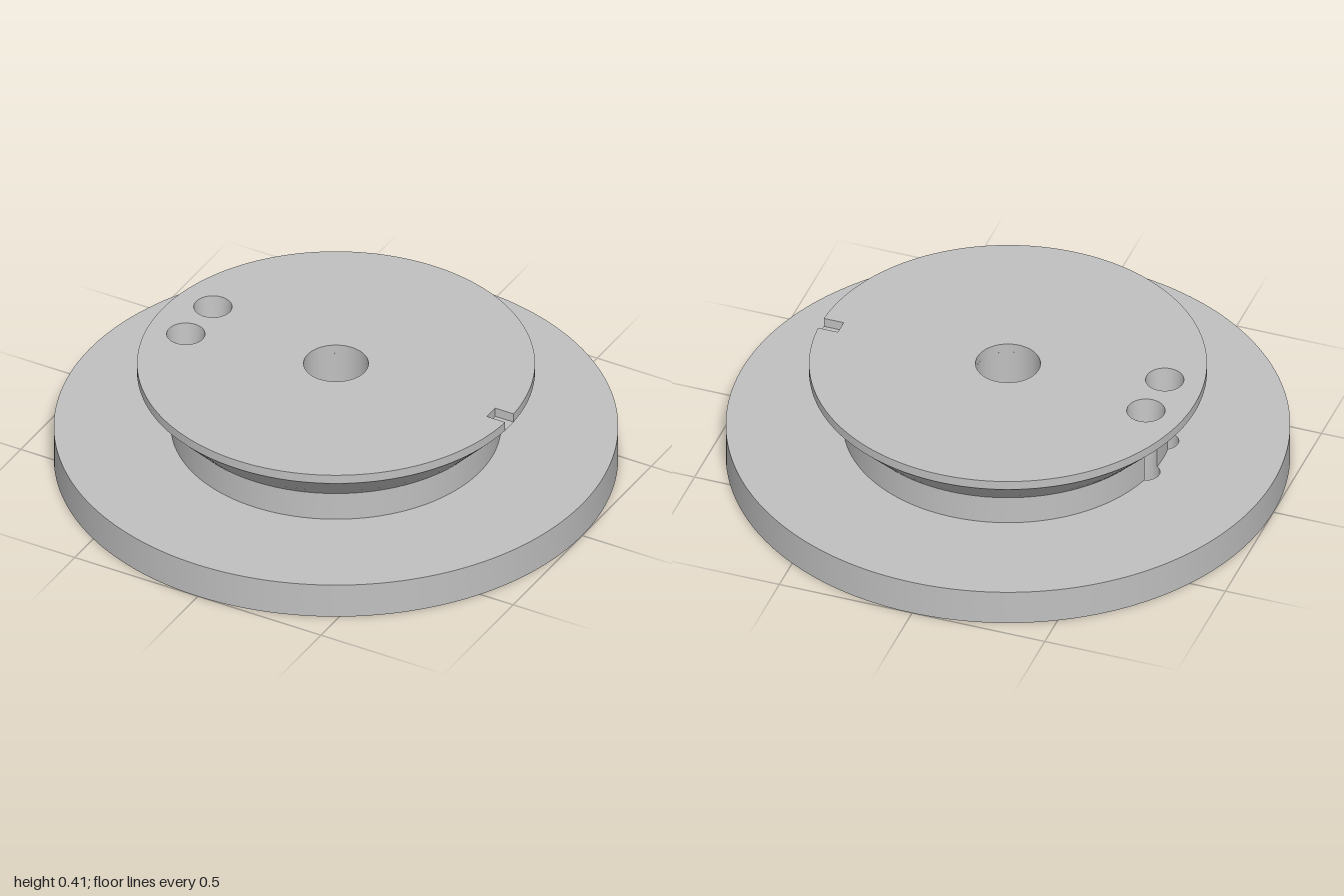
import * as THREE from 'three';
import { toCreasedNormals } from 'three/addons/utils/BufferGeometryUtils.js';

// Heights and radii
const BASE_TOP = 0.135, NECK_TOP = 0.245, RIM_BOTTOM = 0.37, TOP = 0.405;
const NECK_R = 0.585, RIM_R = 0.705, BORE_R = 0.115;
const HOLE_X = -0.555, HOLE_Z = 0.098;
const HOLE_D = Math.hypot(HOLE_X, HOLE_Z);

// Outer radius and screw hole radius at a height
const outerR = y => NECK_R + (RIM_R - NECK_R) * Math.max(0, (y - NECK_TOP) / (RIM_BOTTOM - NECK_TOP));
const holeR = y => 0.05 + 0.018 * Math.max(0, (y - NECK_TOP) / (TOP - NECK_TOP));

function circle(x, y, r) {
  return new THREE.Path().absarc(x, y, r, 0, Math.PI * 2, false);
}

function screwHoles(r) {
  return [1, -1].map(s => circle(HOLE_X, s * HOLE_Z, r));
}

// Tapered slot outline; it may be cut off square at x = cut
function slotPath(cut) {
  const big = 0.18, small = 0.09, reach = 0.82;
  const g = Math.acos((big - small) / reach);
  const p = new THREE.Path().absarc(0, 0, big, g, Math.PI * 2 - g, false);
  if (cut) {
    const z = (big - cut * Math.cos(g)) / Math.sin(g);
    p.lineTo(cut, -z);
    p.lineTo(cut, z);
  } else {
    p.absarc(reach, 0, small, -g, g, false);
  }
  p.closePath();
  return p;
}

function slab(shape, holes, y0, y1) {
  shape.holes.push(...holes);
  const geo = new THREE.ExtrudeGeometry(shape, { depth: y1 - y0, bevelEnabled: false, curveSegments: 96 });
  return toCreasedNormals(geo.rotateX(-Math.PI / 2).translate(0, y0, 0), 0.5);
}

function disc(r) {
  return new THREE.Shape().absarc(0, 0, r, 0, Math.PI * 2, false);
}

// Neck cross-section with the two screw holes biting into its edge
function neckLoop(y) {
  const R = outerR(y), h = holeR(y), d = HOLE_D, pts = [];
  const a = (d * d + R * R - h * h) / (2 * d);
  const alpha = Math.acos(Math.min(1, a / R));
  const beta = Math.acos(Math.min(1, (a - d) / h));
  const off = Math.atan2(HOLE_Z, -HOLE_X);
  const arc = (cx, cz, r, from, to, n) => {
    for (let i = 0; i <= n; i++) {
      const t = from + (to - from) * i / n;
      pts.push([cx + r * Math.cos(t), y, cz + r * Math.sin(t)]);
    }
  };
  const first = Math.PI - off, second = Math.PI + off;
  const bite = phi => arc(d * Math.cos(phi), d * Math.sin(phi), h, phi - beta, phi + beta - Math.PI * 2, 28);
  bite(first);
  arc(0, 0, R, first + alpha, second - alpha, 8);
  bite(second);
  arc(0, 0, R, second + alpha, first - alpha + Math.PI * 2, 110);
  return pts;
}

function loft(loops) {
  const pos = [];
  for (let j = 0; j < loops.length - 1; j++) {
    const A = loops[j], B = loops[j + 1], n = A.length;
    for (let i = 0; i < n; i++) {
      const k = (i + 1) % n;
      pos.push(...A[i], ...B[i], ...A[k], ...A[k], ...B[i], ...B[k]);
    }
  }
  const geo = new THREE.BufferGeometry();
  geo.setAttribute('position', new THREE.Float32BufferAttribute(pos, 3));
  return toCreasedNormals(geo, 0.5);
}

function openTube(rTop, rBottom, y0, y1, segments) {
  return new THREE.CylinderGeometry(rTop, rBottom, y1 - y0, segments, 1, true).translate(0, (y0 + y1) / 2, 0);
}

export function createModel() {
  const group = new THREE.Group();
  const grey = new THREE.MeshStandardMaterial({ color: 0xc0c0c0, side: THREE.DoubleSide });
  grey.name = 'grey';
  const add = (name, geo) => {
    const mesh = new THREE.Mesh(geo, grey);
    mesh.name = name;
    group.add(mesh);
    return mesh;
  };

  // Base disc: full slot below, only its deep inner end above
  const slotFloor = 0.1;
  add('baseLower', slab(disc(1), [slotPath(), ...screwHoles(0.05)], 0, slotFloor));
  add('baseUpper', slab(disc(1), [slotPath(0.31), ...screwHoles(0.05)], slotFloor, BASE_TOP));

  // Ceiling of the pocket under the neck
  const ceiling = disc(0.4);
  ceiling.holes.push(circle(0, 0, BORE_R));
  add('pocketCeiling', new THREE.ShapeGeometry(ceiling, 64).rotateX(Math.PI / 2).translate(0, BASE_TOP, 0));

  // Neck and lower flare, up to where the screw holes are fully enclosed
  const slope = (RIM_R - NECK_R) / (RIM_BOTTOM - NECK_TOP) - 0.018 / (TOP - NECK_TOP);
  const closeY = NECK_TOP + (HOLE_D + 0.05 - NECK_R) / slope;
  const levels = [BASE_TOP, NECK_TOP];
  for (let i = 1; i <= 6; i++) levels.push(NECK_TOP + (closeY - NECK_TOP) * i / 6);
  add('neck', loft(levels.map(neckLoop)));

  // Upper flare
  add('flare', openTube(RIM_R, outerR(closeY), closeY, RIM_BOTTOM, 128));

  // Rim with a square notch on the +x side
  const notchIn = 0.63, notchHalf = 0.03;
  const a = Math.asin(notchHalf / RIM_R);
  const rim = new THREE.Shape().absarc(0, 0, RIM_R, a, Math.PI * 2 - a, false);
  rim.lineTo(notchIn, -notchHalf);
  rim.lineTo(notchIn, notchHalf);
  rim.closePath();
  add('rim', slab(rim, [circle(0, 0, BORE_R), ...screwHoles(holeR(TOP))], RIM_BOTTOM, TOP));
  const floorLength = RIM_R - notchIn;
  add('notchFloor', new THREE.PlaneGeometry(floorLength, notchHalf * 2).rotateX(-Math.PI / 2)
    .translate(notchIn + floorLength / 2, RIM_BOTTOM, 0));

  // Centre bore and tapered screw holes
  add('centreBore', openTube(BORE_R, BORE_R, BASE_TOP, RIM_BOTTOM, 96));
  for (const s of [1, -1]) {
    const hole = add('screwHole', openTube(holeR(TOP), holeR(closeY), closeY, TOP, 48));
    hole.position.set(HOLE_X, 0, s * HOLE_Z);
  }
  return group;
}
